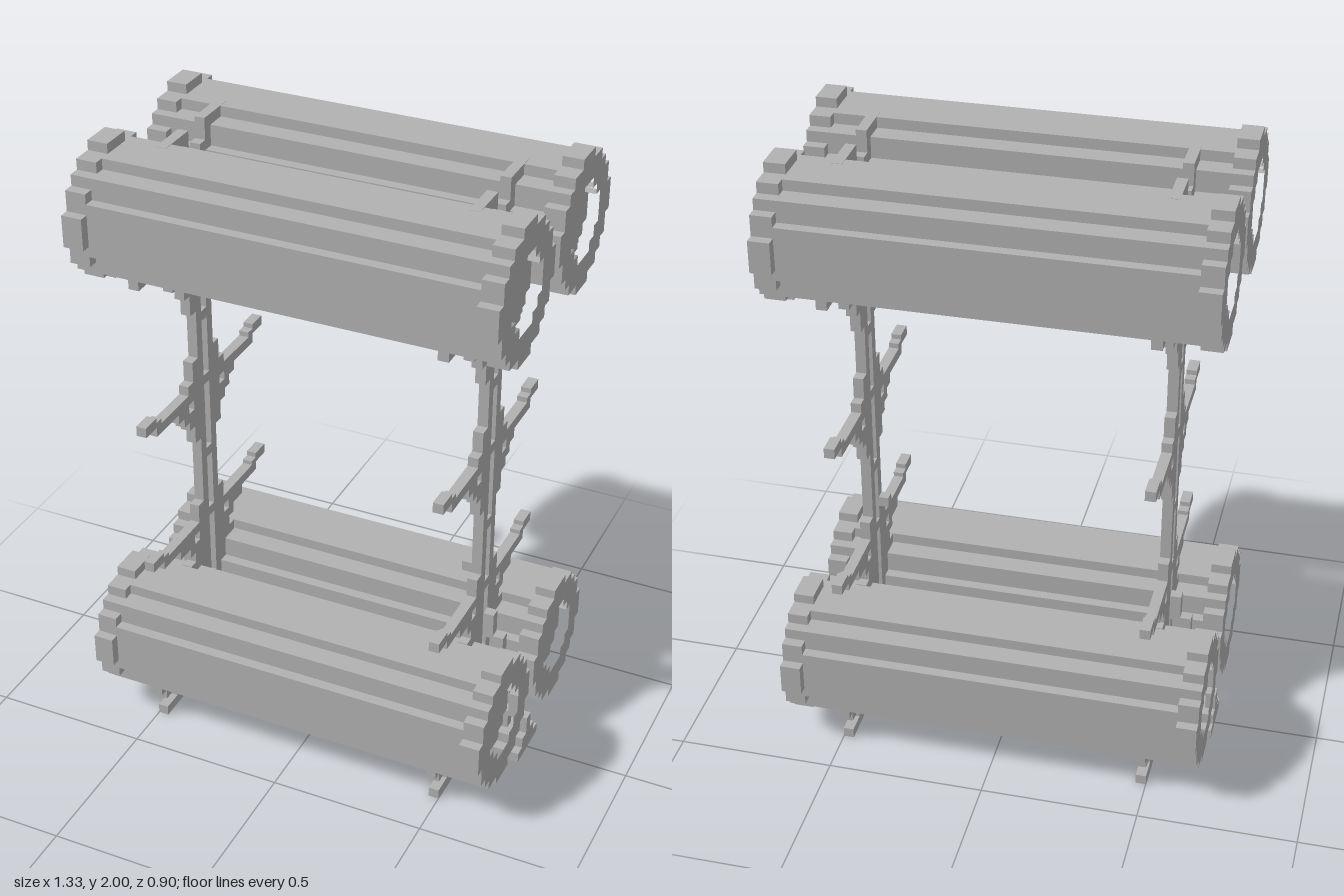
import * as THREE from 'three';
import { mergeGeometries } from 'three/addons/utils/BufferGeometryUtils.js';

const grey = new THREE.MeshStandardMaterial({ color: 0xb2b2b2 });
grey.name = 'plain grey';

// Axis-aligned block from its limits
function block(x0, x1, y0, y1, z0, z1) {
  return new THREE.BoxGeometry(x1 - x0, y1 - y0, z1 - z0)
    .translate((x0 + x1) / 2, (y0 + y1) / 2, (z0 + z1) / 2);
}

// Stepped round outline; steps hold [half width, height] for one quadrant, top first
function steppedOutline(steps, Target) {
  const quadrant = [];
  steps.forEach(([w, h], i) => {
    if (i > 0) quadrant.push([steps[i - 1][0], h]);
    quadrant.push([w, h]);
  });
  const back = quadrant.slice().reverse();
  const points = [
    ...quadrant,
    ...back.map(([x, y]) => [x, -y]),
    ...quadrant.map(([x, y]) => [-x, -y]),
    ...back.map(([x, y]) => [-x, y]),
  ];
  return new Target(points.map(([x, y]) => new THREE.Vector2(x, y)));
}

const BODY = [[0.083, 0.184], [0.15, 0.15], [0.184, 0.083]];
const RIM = [[0.05, 0.215], [0.115, 0.184], [0.15, 0.15], [0.184, 0.115], [0.215, 0.05]];
const RECESS = [[0.05, 0.118], [0.085, 0.085], [0.118, 0.05]];

// Extrude an outline along x between two limits
function alongX(shape, x0, x1) {
  return new THREE.ExtrudeGeometry(shape, { depth: x1 - x0, bevelEnabled: false })
    .rotateY(Math.PI / 2).translate(x0, 0, 0);
}

function makeLog(y, z) {
  const log = new THREE.Group();
  log.name = 'log';
  const body = new THREE.Mesh(alongX(steppedOutline(BODY, THREE.Shape), -0.6, 0.6), grey);
  body.name = 'logBody';
  log.add(body);
  const ring = steppedOutline(RIM, THREE.Shape);
  ring.holes.push(steppedOutline(RECESS, THREE.Path));
  const disc = steppedOutline(RECESS, THREE.Shape);
  for (const s of [-1, 1]) {
    const x0 = s > 0 ? 0.6 : -0.665;
    const rim = new THREE.Mesh(alongX(ring, x0, x0 + 0.065), grey);
    rim.name = 'logEndRim';
    const core = new THREE.Mesh(alongX(disc, s > 0 ? 0.6 : -0.63, s > 0 ? 0.63 : -0.6), grey);
    core.name = 'logEndCore';
    log.add(rim, core);
  }
  log.position.set(0, y, z);
  return log;
}

// Half of the end frame as [z0, z1, y0, y1], mirrored in z
const UPPER = [
  [0.05, 0.185, 1.87, 1.97], [0.05, 0.085, 1.6, 1.9], [0.017, 0.05, 1.6, 1.9],
  [0.017, 0.38, 1.602, 1.636], [0.05, 0.085, 1.4, 1.6], [0.085, 0.118, 1.44, 1.55],
  [0.118, 0.15, 1.5, 1.6], [0.085, 0.118, 1.585, 1.602], [0.15, 0.215, 1.54, 1.575],
  [0.15, 0.185, 1.5, 1.54], [0.05, 0.085, 1.37, 1.4],
];
const POST = [
  [0.017, 0.05, 0.033, 1.6],
];
const MIDDLE = [
  [0.05, 0.085, 1.135, 1.205], [0.05, 0.32, 1.07, 1.103], [0.05, 0.118, 1.103, 1.135],
  [0.32, 0.385, 1.103, 1.136], [0.29, 0.32, 1.07, 1.12],
  [0.118, 0.185, 1.038, 1.07], [0.05, 0.085, 0.91, 1.07], [0.085, 0.118, 0.975, 1.038],
  [0.118, 0.15, 1.005, 1.038],
];
const LOWER = [
  [0.05, 0.085, 0.635, 0.67], [0.05, 0.32, 0.573, 0.606], [0.05, 0.085, 0.606, 0.635],
  [0.32, 0.385, 0.603, 0.636], [0.29, 0.32, 0.573, 0.62],
  [0.118, 0.215, 0.54, 0.573], [0.05, 0.085, 0.1, 0.573], [0.085, 0.118, 0.47, 0.54],
  [0.118, 0.15, 0.505, 0.54], [0.05, 0.15, 0.4, 0.47],
  [0.05, 0.38, 0.104, 0.138], [0.05, 0.35, 0.07, 0.104],
];
const FEET = [
  [0.118, 0.35, 0, 0.033], [0.25, 0.283, 0.033, 0.07], [0.185, 0.218, 0.033, 0.07],
];

function frameMesh(name, list) {
  const parts = [];
  for (const [z0, z1, y0, y1] of list) {
    parts.push(block(0.467, 0.5, y0, y1, z0, z1), block(0.467, 0.5, y0, y1, -z1, -z0));
  }
  const mesh = new THREE.Mesh(mergeGeometries(parts), grey);
  mesh.name = name;
  return mesh;
}

function makeEndFrame() {
  const frame = new THREE.Group();
  frame.name = 'endFrame';
  frame.add(
    frameMesh('upperBracket', UPPER), frameMesh('posts', POST),
    frameMesh('middleArms', MIDDLE), frameMesh('lowerBracket', LOWER), frameMesh('sideFeet', FEET),
  );

  // Rungs joining the two posts
  const rungs = [1.8, 1.59, 1.32, 1.09, 0.82, 0.59, 0.32]
    .map((y) => block(0.467, 0.5, y, y + 0.033, -0.017, 0.017));
  const rungMesh = new THREE.Mesh(mergeGeometries(rungs), grey);
  rungMesh.name = 'rungs';

  // Outer foot plate and the stepped brace rising from it to the posts
  const brace = [
    block(0.467, 0.665, 0, 0.034, -0.085, 0.085),
    block(0.467, 0.665, 0.034, 0.07, -0.05, 0.05),
    block(0.5, 0.535, 0.41, 0.5, -0.017, 0.017),
    block(0.535, 0.57, 0.3, 0.42, -0.017, 0.017),
    block(0.57, 0.6, 0.2, 0.31, -0.017, 0.017),
    block(0.6, 0.632, 0.12, 0.21, -0.017, 0.017),
    block(0.632, 0.665, 0.07, 0.13, -0.017, 0.017),
    block(0.535, 0.6, 0.07, 0.104, -0.017, 0.017),
    block(0.5, 0.6, 0.104, 0.138, -0.017, 0.017),
  ];
  const braceMesh = new THREE.Mesh(mergeGeometries(brace), grey);
  braceMesh.name = 'footBrace';
  frame.add(rungMesh, braceMesh);
  return frame;
}

export function createModel() {
  const model = new THREE.Group();
  model.name = 'logRack';
  for (const y of [1.785, 0.285]) {
    for (const z of [-0.235, 0.235]) model.add(makeLog(y, z));
  }
  // The two end frames face opposite ways
  const left = makeEndFrame();
  const right = makeEndFrame();
  right.rotation.y = Math.PI;
  model.add(left, right);

  // Small peg on the inside of the left frame
  const peg = new THREE.Mesh(block(0.435, 0.467, 0.67, 0.704, 0.017, 0.05), grey);
  peg.name = 'peg';
  model.add(peg);
  return model;
}
